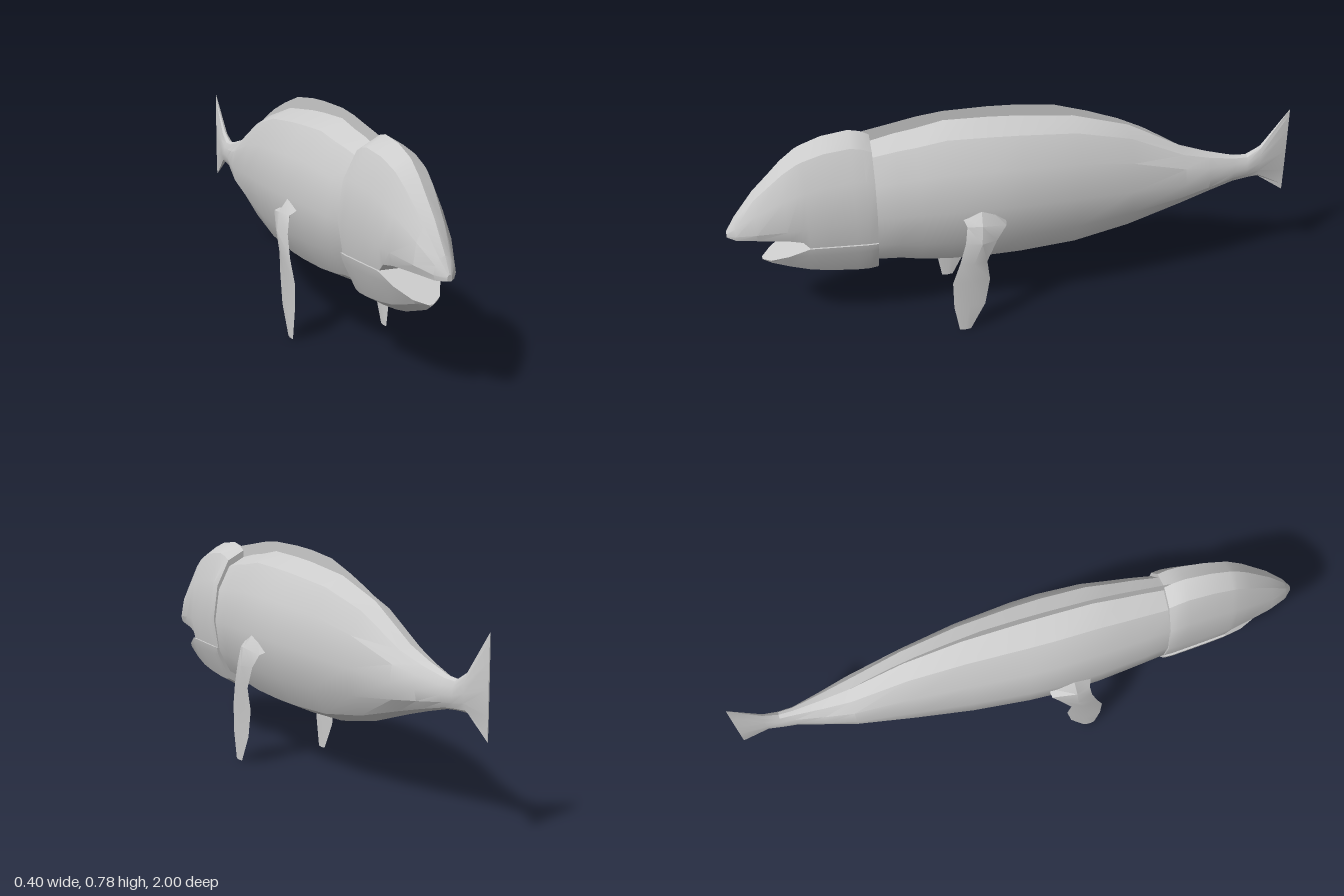
import * as THREE from 'three';
import { toCreasedNormals } from 'three/addons/utils/BufferGeometryUtils.js';

const material = new THREE.MeshStandardMaterial({ color: 0xcccccc, side: THREE.DoubleSide });

// Skin a list of equal-sized rings of points and cap both ends.
function loft(name, rings, crease = 0.42) {
  const n = rings[0].length, pos = [], index = [];
  const centre = (ring) => [0, 1, 2].map((k) => ring.reduce((s, p) => s + p[k], 0) / n);
  rings.forEach((ring) => ring.forEach((p) => pos.push(...p)));
  const last = rings.length - 1, c0 = rings.length * n, c1 = c0 + 1;
  pos.push(...centre(rings[0]), ...centre(rings[last]));
  for (let i = 0; i < n; i++) {
    const j = (i + 1) % n;
    for (let s = 0; s < last; s++) {
      const a = s * n + i, b = s * n + j;
      index.push(a, b, a + n, b, b + n, a + n);
    }
    index.push(c0, j, i, c1, last * n + i, last * n + j);
  }
  const g = new THREE.BufferGeometry();
  g.setAttribute('position', new THREE.Float32BufferAttribute(pos, 3));
  g.setIndex(index);
  const mesh = new THREE.Mesh(toCreasedNormals(g, crease), material);
  mesh.name = name;
  return mesh;
}

// Twelve-sided oval, cut flat above `hi` or below `lo`.
function oval(z, top, bottom, cy, rx, lo = -1, hi = 2) {
  const ring = [];
  for (let i = 0; i < 12; i++) {
    const a = (i * Math.PI) / 6, s = Math.sin(a), c = Math.cos(a);
    const half = (y) => (y > cy ? top - cy : cy - bottom);
    let y = cy + c * (c > 0 ? top - cy : cy - bottom);
    y = Math.min(hi, Math.max(lo, y));
    const t = (y - cy) / half(y);
    const limit = Math.sqrt(Math.max(0, 1 - t * t));
    ring.push([rx * Math.sign(s) * Math.min(Math.abs(s), limit), y, z]);
  }
  return ring;
}

export function createModel() {
  const model = new THREE.Group();

  // Trunk tapering into the upright tail: z, top, bottom, widest height, half width
  const trunk = [
    [0.53, 0.69, 0.235, 0.465, 0.118], [0.42, 0.715, 0.23, 0.465, 0.134],
    [0.35, 0.725, 0.215, 0.468, 0.142], [0.25, 0.745, 0.205, 0.47, 0.154],
    [0.1, 0.74, 0.2, 0.47, 0.16], [0, 0.733, 0.2, 0.465, 0.156],
    [-0.2, 0.71, 0.21, 0.455, 0.136], [-0.4, 0.65, 0.25, 0.44, 0.108],
    [-0.6, 0.54, 0.315, 0.425, 0.08], [-0.7, 0.505, 0.345, 0.42, 0.054],
    [-0.8, 0.478, 0.372, 0.42, 0.028], [-0.85, 0.475, 0.378, 0.425, 0.024],
    [-0.9, 0.505, 0.38, 0.44, 0.018], [-1, 0.64, 0.31, 0.47, 0.002],
  ];
  model.add(loft('trunkAndTail', trunk.map((r) => oval(...r))));

  // Upper head, with a flat roof of the mouth as last value
  const head = [
    [1, 0.41, 0.25, 0.398, 0.008, 0.39], [0.97, 0.46, 0.25, 0.405, 0.037, 0.388],
    [0.9, 0.555, 0.24, 0.42, 0.067, 0.393], [0.8, 0.66, 0.225, 0.435, 0.095, 0.393],
    [0.75, 0.7, 0.215, 0.44, 0.105, 0.385], [0.73, 0.71, 0.212, 0.443, 0.108, 0.362],
    [0.66, 0.735, 0.205, 0.455, 0.116, 0.362], [0.57, 0.747, 0.196, 0.465, 0.125, 0.362],
    [0.53, 0.738, 0.195, 0.47, 0.129, 0.362], [0.5, 0.722, 0.2, 0.47, 0.129, 0.362],
  ];
  model.add(loft('upperHead', head.map((r) => oval(...r))));

  // Lower jaw, with a sloping floor of the mouth as last value
  const jaw = [
    [0.89, 0.6, 0.281, 0.44, 0.03, 0.288], [0.86, 0.6, 0.263, 0.44, 0.075, 0.3],
    [0.8, 0.66, 0.243, 0.435, 0.095, 0.328], [0.73, 0.71, 0.22, 0.443, 0.108, 0.362],
    [0.66, 0.735, 0.206, 0.455, 0.116, 0.362], [0.57, 0.747, 0.196, 0.465, 0.125, 0.362],
    [0.53, 0.738, 0.195, 0.47, 0.129, 0.362], [0.5, 0.722, 0.2, 0.47, 0.129, 0.362],
  ];
  model.add(loft('lowerJaw', jaw.map(([z, t, b, cy, rx, hi]) => oval(z, t, b, cy, rx, -1, hi))));

  // Paper-thin fin along the back, drawn in (z, y)
  const ridge = [
    [0.53, 0.735], [0.42, 0.755], [0.34, 0.77], [0.25, 0.78], [0.1, 0.78], [0, 0.775],
    [-0.13, 0.76], [-0.25, 0.722], [-0.36, 0.68], [-0.45, 0.635], [-0.53, 0.585], [-0.6, 0.54],
    [-0.55, 0.53], [-0.4, 0.62], [-0.2, 0.68], [0.1, 0.7], [0.53, 0.66],
  ];
  const finShape = new THREE.Shape(ridge.map(([z, y]) => new THREE.Vector2(z, y)));
  const finGeometry = new THREE.ShapeGeometry(finShape);
  finGeometry.rotateY(-Math.PI / 2);
  const dorsalFin = new THREE.Mesh(finGeometry, material);
  dorsalFin.name = 'dorsalFin';
  model.add(dorsalFin);

  // Flippers: a shoulder leaving the side, then a blade hanging straight down
  const shoulder = [
    [[0.135, 0.45, 0.22], [0.14, 0.39, 0.14], [0.14, 0.42, 0.065], [0.135, 0.495, 0.15]],
    [[0.172, 0.42, 0.205], [0.157, 0.402, 0.14], [0.172, 0.41, 0.07], [0.189, 0.425, 0.155]],
  ];
  // y, front z, back z, inner x, outer x
  const blade = [
    [0.36, 0.213, 0.105, 0.165, 0.198], [0.28, 0.235, 0.14, 0.171, 0.193],
    [0.2, 0.26, 0.13, 0.168, 0.183], [0.1, 0.258, 0.148, 0.17, 0.181],
    [0, 0.24, 0.2, 0.172, 0.178],
  ];
  const flipper = [...shoulder, ...blade.map(([y, f, b, xi, xo]) => {
    const x = (xi + xo) / 2, z = (f + b) / 2;
    return [[x, y, f], [xi, y, z], [x, y, b], [xo, y, z]];
  })];
  for (const side of [1, -1]) {
    const rings = flipper.map((ring) => {
      const r = ring.map(([x, y, z]) => [x * side, y, z]);
      return side < 0 ? r.reverse() : r;
    });
    model.add(loft(side > 0 ? 'leftFlipper' : 'rightFlipper', rings, 0.6));
  }
  return model;
}
